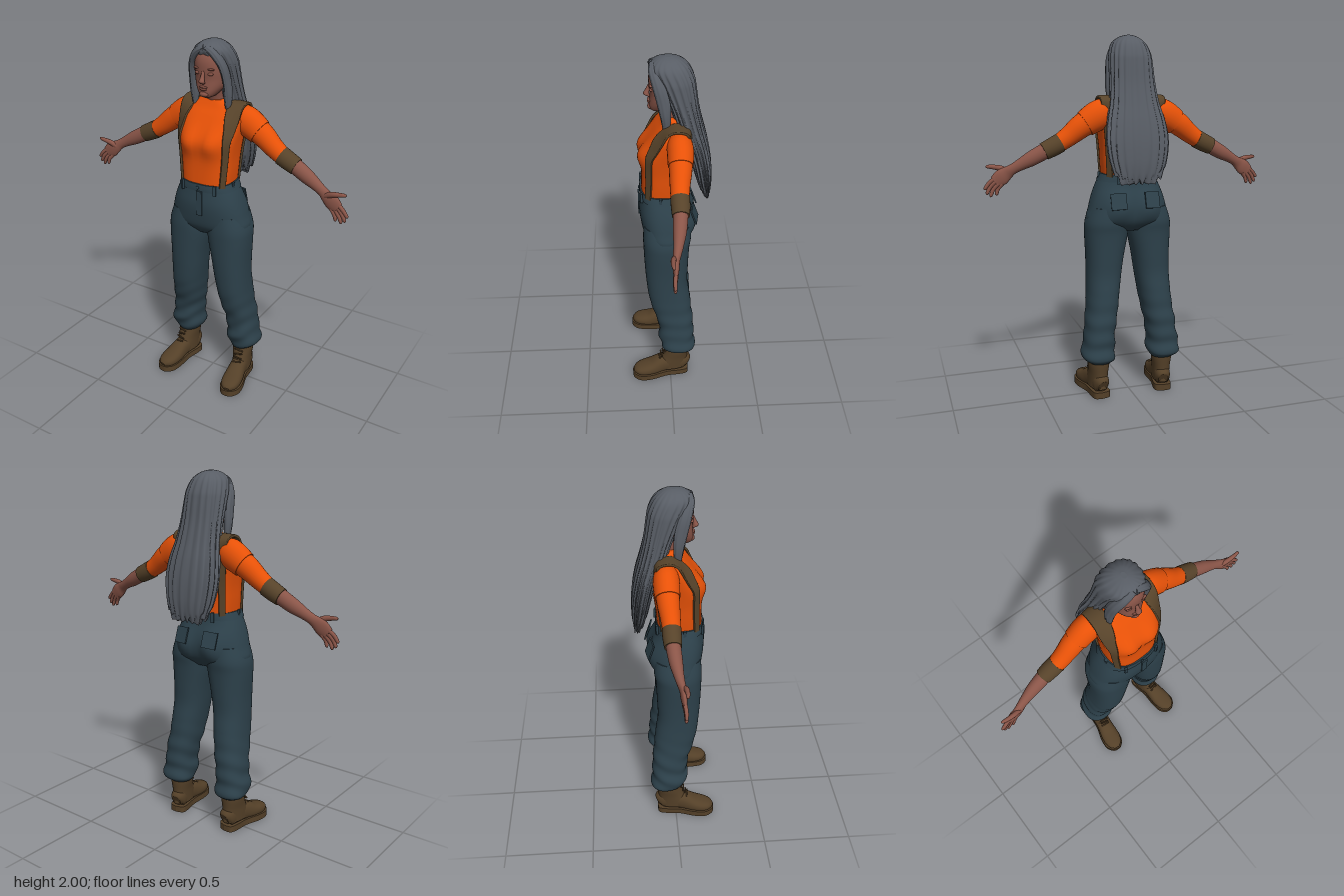
import * as THREE from 'three';

const mat = (name, color) => Object.assign(new THREE.MeshStandardMaterial({ color }), { name });

// Smooth interpolation through rows of numbers
function sample(rows, t) {
  const f = t * (rows.length - 1), i = Math.min(Math.floor(f), rows.length - 2), u = f - i;
  const r = k => rows[Math.max(0, Math.min(rows.length - 1, k))];
  const [a, b, c, d] = [r(i - 1), r(i), r(i + 1), r(i + 2)];
  return b.map((_, k) => b[k] + 0.5 * u * (c[k] - a[k] + u * (2 * a[k] - 5 * b[k] + 4 * c[k] - d[k]
    + u * (3 * (b[k] - c[k]) + d[k] - a[k]))));
}

// Skin over cross-sections [x, y, z, halfWidth, halfDepth, yaw]
// upright: level rings; ribbon: width direction given by yaw; up: depth direction
function loft(rows, o = {}) {
  const { segs = 24, steps = (rows.length - 1) * 4, p = 2, up = [0, 0, 1] } = o;
  const pos = [], idx = [], S = new THREE.Vector3(), N = new THREE.Vector3(), T = new THREE.Vector3();
  const centres = [], pw = c => Math.sign(c) * Math.abs(c) ** (2 / p);
  for (let i = 0; i <= steps; i++) {
    const t = i / steps, c = sample(rows, t), C = new THREE.Vector3(c[0], c[1], c[2]);
    const a = sample(rows, Math.max(0, t - 0.01)), b = sample(rows, Math.min(1, t + 0.01));
    T.set(b[0] - a[0], b[1] - a[1], b[2] - a[2]).normalize();
    if (o.upright) T.set(0, Math.sign(T.y), 0);
    if (o.ribbon) {
      S.set(Math.cos(c[5]), 0, -Math.sin(c[5])).addScaledVector(T, -S.dot(T)).normalize();
      N.crossVectors(S, T).normalize();
      S.crossVectors(T, N);
    } else {
      N.set(...up);
      N.addScaledVector(T, -N.dot(T)).normalize();
      S.crossVectors(T, N);
    }
    centres.push(C);
    for (let j = 0; j < segs; j++) {
      const ang = j / segs * Math.PI * 2, k = o.scale ? o.scale(ang, t, C) : 1;
      const v = C.clone().addScaledVector(S, pw(Math.cos(ang)) * c[3] * k)
        .addScaledVector(N, pw(Math.sin(ang)) * c[4] * k);
      if (o.move) o.move(v);
      pos.push(v.x, v.y, v.z);
      if (i < steps) {
        const q = i * segs + j, r = i * segs + (j + 1) % segs;
        idx.push(q, q + segs, r, r, q + segs, r + segs);
      }
    }
  }
  // End caps with their own vertices
  for (const [row, flip] of [[0, false], [steps, true]]) {
    const base = pos.length / 3, c = centres[row];
    pos.push(...pos.slice(row * segs * 3, (row + 1) * segs * 3), c.x, c.y, c.z);
    for (let j = 0; j < segs; j++) {
      const q = base + j, r = base + (j + 1) % segs;
      idx.push(base + segs, ...(flip ? [r, q] : [q, r]));
    }
  }
  const g = new THREE.BufferGeometry();
  g.setAttribute('position', new THREE.Float32BufferAttribute(pos, 3));
  g.setIndex(idx);
  g.computeVertexNormals();
  return g;
}

// Rows [y, right, left, front, back] to cross-sections
const slab = rows => rows.map(([y, a, b, f, k]) => [(a + b) / 2, y, (f + k) / 2, (a - b) / 2, (f - k) / 2, 0]);
const even = rows => slab(rows.map(([y, r, f, k]) => [y, r, -r, f, k]));
const bell = (v, x, y, w, h) => Math.exp(-(((Math.abs(v.x) - x) / w) ** 2) - ((v.y - y) / h) ** 2);

export function createModel() {
  const root = new THREE.Group();
  root.name = 'standingWoman';
  const skin = mat('skin', 0x8a5548), hair = mat('greyHair', 0x585d65), shirt = mat('orangeShirt', 0xe85208);
  const cloth = mat('slateTrousers', 0x2d414b), leather = mat('bootBrown', 0x544028), webbing = mat('strapBrown', 0x57432a);
  const add = (name, geo, m, parent = root) => {
    const mesh = new THREE.Mesh(geo, m);
    mesh.name = name;
    parent.add(mesh);
    return mesh;
  };
  const ball = (name, m, x, y, z, a, b, c, parent) => {
    const e = add(name, new THREE.SphereGeometry(1, 20, 14), m, parent);
    e.position.set(x, y, z);
    e.scale.set(a, b, c);
    return e;
  };

  // Shirt body
  const torso = even([[1.24, .14, .15, -.09], [1.32, .147, .148, -.095], [1.4, .152, .145, -.105],
    [1.48, .162, .138, -.115], [1.55, .173, .11, -.12], [1.61, .178, .075, -.115],
    [1.65, .15, .045, -.105], [1.675, .1, .03, -.09], [1.69, .066, .022, -.075]]);
  const bust = v => { if (v.z > 0.03) v.z += 0.032 * bell(v, 0.065, 1.49, 0.07, 0.07); };
  add('shirtBody', loft(torso, { upright: true, p: 2.8, segs: 56, move: bust }), shirt);

  // Neck, head and face
  add('neck', loft([[0, 1.64, -.035, .055, .05], [0, 1.7, -.02, .047, .046], [0, 1.78, .01, .05, .05]]), skin);
  add('head', loft(even([[1.712, .018, .08, .01], [1.722, .038, .095, -.01], [1.745, .058, .1, -.04], [1.775, .076, .098, -.07],
    [1.81, .085, .096, -.085], [1.85, .088, .1, -.09], [1.9, .086, .1, -.09], [1.94, .074, .085, -.075],
    [1.968, .045, .05, -.04]]), { upright: true, p: 2.2, segs: 36 }), skin);
  add('nose', loft([[0, 1.855, .094, .008, .008], [0, 1.825, .106, .01, .011], [0, 1.803, .112, .016, .015],
    [0, 1.79, .1, .01, .008]], { upright: true }), skin);
  ball('upperLip', skin, 0, 1.772, .097, .024, .006, .012);
  ball('lowerLip', skin, 0, 1.761, .097, .02, .007, .012);
  ball('chin', skin, 0, 1.735, .09, .026, .016, .018);

  // Long hair: crown and back curtain with strand ridges
  const strands = (a, t) => 1 + (0.02 + 0.04 * t) * Math.sin(19 * a + 3 * t) * Math.min(1, t * 4)
    + 0.025 * t * Math.sin(41 * a - 5 * t);
  const ragged = v => { if (v.y < 1.34) v.y += 0.018 * Math.sin(v.x * 170) * Math.min(1, (1.34 - v.y) * 10); };
  add('hairCurtain', loft(even([[2, .012, .02, -.015], [1.988, .05, .065, -.055], [1.955, .09, .094, -.095], [1.9, .11, .07, -.122],
    [1.85, .115, .045, -.132], [1.75, .12, 0, -.147], [1.65, .132, -.035, -.17], [1.55, .155, -.08, -.196],
    [1.45, .165, -.11, -.214], [1.35, .152, -.135, -.222], [1.28, .128, -.16, -.22], [1.24, .1, -.185, -.214]]),
  { upright: true, p: 2.3, segs: 120, steps: 60, scale: strands, move: ragged }), hair);

  // Pelvis of the trousers and waistband
  const seat = v => { if (v.z < 0) v.z -= 0.038 * bell(v, 0.09, 1.07, 0.08, 0.085); };
  add('trouserSeat', loft(even([[1.25, .15, .152, -.09], [1.2, .176, .158, -.096], [1.14, .2, .164, -.11], [1.07, .22, .158, -.113],
    [1.0, .232, .142, -.105], [.95, .15, .1, -.07]]), { upright: true, p: 2.4, segs: 56, move: seat }), cloth);
  add('waistband', loft(even([[1.222, .168, .16, -.097], [1.24, .16, .16, -.097], [1.262, .15, .158, -.096]]),
    { upright: true, p: 2.5, segs: 48 }), cloth);
  add('flyFlap', new THREE.BoxGeometry(.034, .14, .008), cloth).position.set(.012, 1.155, .164);
  ball('waistButton', cloth, 0, 1.242, .161, .009, .009, .005);

  for (const s of [1, -1]) {
    const side = new THREE.Group();
    side.name = s > 0 ? 'leftSide' : 'rightSide';
    root.add(side);
    const m = rows => rows.map(([x, y, z, w, d, yaw = 0]) => [s * x, y, z, w, d, s * yaw]);
    const part = (name, rows, material, o) => add(name, loft(m(rows), o), material, side);

    // Hair swept from the parting to the shoulder
    part('frontLock', [[.006, 1.968, .07, .014, .025], [.05, 1.944, .074, .02, .026], [.088, 1.88, .052, .018, .03],
      [.1, 1.8, .03, .017, .032], [.1, 1.72, .02, .021, .026], [.098, 1.64, .015, .01, .016]], hair,
    { segs: 40, scale: a => 1 + 0.05 * Math.sin(9 * a) });
    // Eye and brow relief
    ball('eyelid', skin, s * .036, 1.842, .088, .017, .009, .01, side);
    ball('brow', skin, s * .038, 1.866, .09, .024, .006, .009, side);

    // Sleeves, elbow band and forearm
    part('shortSleeve', [[.11, 1.6, -.045, .05, .05], [.155, 1.595, -.047, .075, .064], [.2, 1.572, -.048, .079, .067],
      [.255, 1.537, -.046, .071, .063]], shirt);
    part('lowerSleeve', [[.22, 1.56, -.047, .067, .06], [.28, 1.522, -.044, .063, .057], [.34, 1.475, -.038, .054, .05],
      [.4, 1.434, -.035, .047, .045]], shirt);
    part('elbowBand', [[.388, 1.441, -.036, .051, .048], [.43, 1.419, -.036, .05, .047], [.476, 1.397, -.035, .047, .043]], webbing);
    part('forearmAndPalm', [[.455, 1.408, -.035, .043, .038], [.54, 1.362, -.027, .04, .034], [.6, 1.33, -.018, .031, .026],
      [.64, 1.307, -.01, .028, .021], [.67, 1.286, -.002, .036, .018], [.7, 1.264, 0, .043, .016],
      [.732, 1.24, .002, .034, .011]], skin);
    // Fingers and thumb
    for (const [x0, y0, x1, y1] of [[.728, 1.264, .789, 1.203], [.728, 1.246, .779, 1.178], [.714, 1.234, .76, 1.165], [.695, 1.232, .73, 1.172]]) {
      part('finger', [[x0, y0, 0, .0125, .011], [(x0 + x1) / 2 + .004, (y0 + y1) / 2 + .003, .006, .011, .01],
        [x1 - .005, y1 + .006, .006, .009, .008], [x1, y1, .006, .003, .003]], skin, { segs: 10 });
    }
    part('thumb', [[.66, 1.292, .002, .016, .014], [.7, 1.312, .012, .015, .013], [.74, 1.32, .014, .012, .011],
      [.768, 1.323, .012, .009, .008], [.776, 1.323, .012, .003, .003]], skin, { segs: 12 });

    // Suspender strap laid over the shirt, front to back
    const onShirt = (x, y, dir, w) => {
      let i = 0;
      while (i < torso.length - 2 && torso[i + 1][1] < y) i++;
      const u = (y - torso[i][1]) / (torso[i + 1][1] - torso[i][1]);
      const [, , cz, rx, rz] = torso[i].map((n, k) => n + (torso[i + 1][k] - n) * u);
      const h = (1 - Math.min(.97, x / rx) ** 2.8) ** (1 / 2.8);
      const yaw = Math.atan2((x / rx) ** 1.8 / rx, h ** 1.8 / rz);
      const v = new THREE.Vector3(x, y, cz + dir * rz * h);
      bust(v);
      return [x + .004 * Math.sin(yaw), y, v.z + dir * .004, w, .007, dir * yaw];
    };
    part('suspender', [onShirt(.122, 1.25, 1, .017), onShirt(.129, 1.34, 1, .018), onShirt(.135, 1.42, 1, .019),
      onShirt(.14, 1.5, 1, .022), onShirt(.143, 1.56, 1, .03), onShirt(.142, 1.61, 1, .038),
      [.14, 1.66, .015, .042, .008, .1], [.138, 1.678, -.035, .044, .008, 0], [.138, 1.658, -.092, .042, .008, -.1],
      onShirt(.138, 1.59, -1, .036), onShirt(.134, 1.5, -1, .026), onShirt(.128, 1.4, -1, .02), onShirt(.12, 1.25, -1, .018)],
    webbing, { ribbon: true, p: 6, segs: 20 });

    // Trouser leg with gathered folds near the ankle
    const folds = (a, t, c) => 1 + 0.05 * Math.max(0, Math.min(1, (0.62 - c.y) * 3))
      * Math.sin(c.y * 62 + 2.2 * Math.cos(a - 0.6) + Math.sin(2 * a));
    part('trouserLeg', slab([[1.08, .212, .02, .14, -.11], [1.0, .239, .004, .146, -.115], [.93, .243, .005, .145, -.106],
      [.8, .238, .03, .14, -.1], [.7, .238, .045, .133, -.098], [.6, .242, .06, .122, -.112], [.5, .25, .075, .098, -.122],
      [.42, .262, .09, .072, -.132], [.35, .268, .1, .066, -.134], [.3, .28, .099, .066, -.138], [.25, .284, .1, .054, -.142],
      [.225, .274, .106, .044, -.14], [.205, .25, .12, .03, -.118]]), cloth, { upright: true, p: 2.3, segs: 44, steps: 72, scale: folds });
    // Belt loops and pockets
    for (const [x, z, yaw] of [[.1, .151, .35], [.155, .05, 1.4], [.085, -.094, 2.8]]) {
      const loop = add('beltLoop', new THREE.BoxGeometry(.016, .055, .012), cloth, side);
      loop.position.set(s * x, 1.24, z);
      loop.rotation.y = s * yaw;
    }
    const pocket = add('backPocket', new THREE.BoxGeometry(.085, .09, .008), cloth, side);
    pocket.position.set(s * .095, 1.125, -.134);
    pocket.rotation.set(.32, s * -.18, 0);

    // Boot, turned slightly outward
    const boot = new THREE.Group();
    boot.name = 'boot';
    boot.position.set(s * .187, 0, -.05);
    boot.rotation.y = s * .14;
    side.add(boot);
    const sole = new THREE.Shape();
    sole.moveTo(0, -.058);
    sole.splineThru([[.042, -.045], [.05, 0], [.047, .08], [.062, .17], [.058, .235], [.03, .272], [0, .28], [-.03, .272],
      [-.056, .235], [-.058, .17], [-.046, .08], [-.05, 0], [-.042, -.045], [0, -.058]].map(q => new THREE.Vector2(s * q[0], q[1])));
    const soleGeo = new THREE.ExtrudeGeometry(sole, { depth: .036, bevelEnabled: false, curveSegments: 40 });
    soleGeo.rotateX(Math.PI / 2).translate(0, .036, 0);
    add('bootSole', soleGeo, leather, boot);
    add('bootFoot', loft([[0, .07, -.053, .028, .035], [0, .08, -.03, .044, .055], [0, .085, .03, .046, .062], [0, .078, .1, .048, .056],
      [0, .06, .16, .055, .044], [0, .052, .21, .055, .036], [0, .046, .25, .042, .028], [0, .04, .272, .016, .013]],
    { up: [0, 1, 0], p: 2.4 }), leather, boot);
    add('bootShaft', loft(slab([[.05, .048, -.048, .13, -.054], [.1, .05, -.05, .118, -.053], [.14, .052, -.052, .1, -.053],
      [.19, .058, -.058, .083, -.056], [.23, .057, -.057, .08, -.056]]), { upright: true, p: 2.2 }), leather, boot);
    for (let i = 0; i < 5; i++) {
      const lace = add('bootLace', new THREE.CapsuleGeometry(.0045, .045, 3, 8), leather, boot);
      lace.position.set(0, .195 - i * .021, .086 + i * .0105);
      lace.rotation.z = Math.PI / 2 + (i % 2 ? .2 : -.2);
    }
  }
  return root;
}
